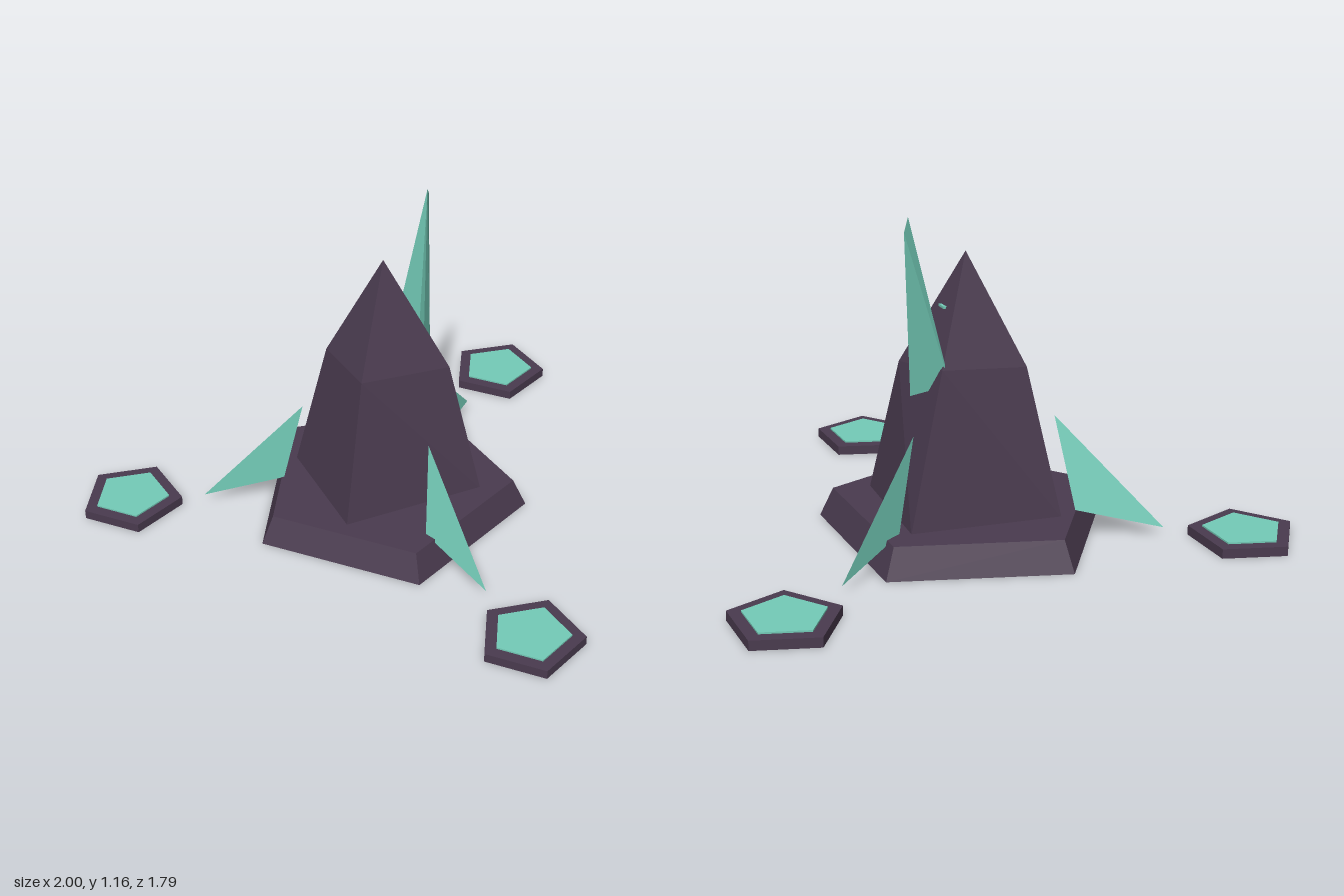
import * as THREE from 'three';
import { ConvexGeometry } from 'three/addons/geometries/ConvexGeometry.js';

export function createModel() {
  const model = new THREE.Group();
  model.name = 'crystalSpire';

  const stone = new THREE.MeshStandardMaterial({ color: 0x4a3b4f });
  stone.name = 'dark stone';
  const crystal = new THREE.MeshStandardMaterial({ color: 0x74ccb8 });
  crystal.name = 'teal crystal';
  stone.flatShading = crystal.flatShading = true;

  const add = (name, geometry, material, parent = model) => {
    const mesh = new THREE.Mesh(geometry, material);
    mesh.name = name;
    parent.add(mesh);
    return mesh;
  };
  const hull = (points) => new ConvexGeometry(points.map((p) => new THREE.Vector3(...p)));
  // Five-sided slab with one corner towards -x, standing on y = 0
  const pentagon = (top, bottom, height) =>
    new THREE.CylinderGeometry(top, bottom, height, 5, 1, false, -Math.PI / 2)
      .translate(0, height / 2, 0);

  // Bevelled plinth
  const centre = [0.015, 0, -0.24];
  add('plinth', pentagon(0.478, 0.527, 0.106), stone).position.set(...centre);

  // Faceted tower: twisted base, uneven shoulders, single peak
  add('tower', hull([
    [-0.26, 0.1, -0.055], [0.275, 0.1, 0.01], [0.31, 0.1, -0.45], [-0.215, 0.1, -0.515],
    [-0.15, 0.645, -0.12], [0.21, 0.595, -0.11], [0.18, 0.645, -0.41], [-0.125, 0.62, -0.415],
    [0.04, 1.005, -0.282],
  ]), stone);

  // Large shard growing out of the tower's left side
  add('largeShard', hull([
    [0.29, 1.165, -0.39], [0.32, 1.125, -0.428],
    [0.25, 0.535, -0.305], [0.17, 0.535, -0.225],
    [0.14, 0.595, -0.216], [0.15, 0.59, -0.405],
  ]), crystal);

  // Small crystal sliver near the peak
  add('sliver', new THREE.BoxGeometry(0.03, 0.008, 0.04), crystal).position.set(0.108, 0.82, -0.27);

  // Three blade crystals leaning on the plinth, a third of a turn apart
  for (let i = 0; i < 3; i++) {
    const blade = add('bladeCrystal' + (i + 1), hull([
      [0, 0.425, 0.3], [0, 0.03, 0.682], [-0.06, 0.105, 0.38], [0, 0.105, 0.38],
    ]), crystal);
    blade.position.set(...centre);
    blade.rotation.y = (i * Math.PI * 2) / 3;
  }

  // Three separate pads, each with a crystal inlay
  [[0.018, 0.712], [0.845, -0.72], [-0.81, -0.72]].forEach(([x, z], i) => {
    const pad = new THREE.Group();
    pad.name = 'pad' + (i + 1);
    pad.position.set(x, 0, z);
    add('padSlab', pentagon(0.19, 0.19, 0.034), stone, pad);
    add('padInlay', pentagon(0.141, 0.141, 0.008), crystal, pad).position.y = 0.032;
    model.add(pad);
  });

  return model;
}
